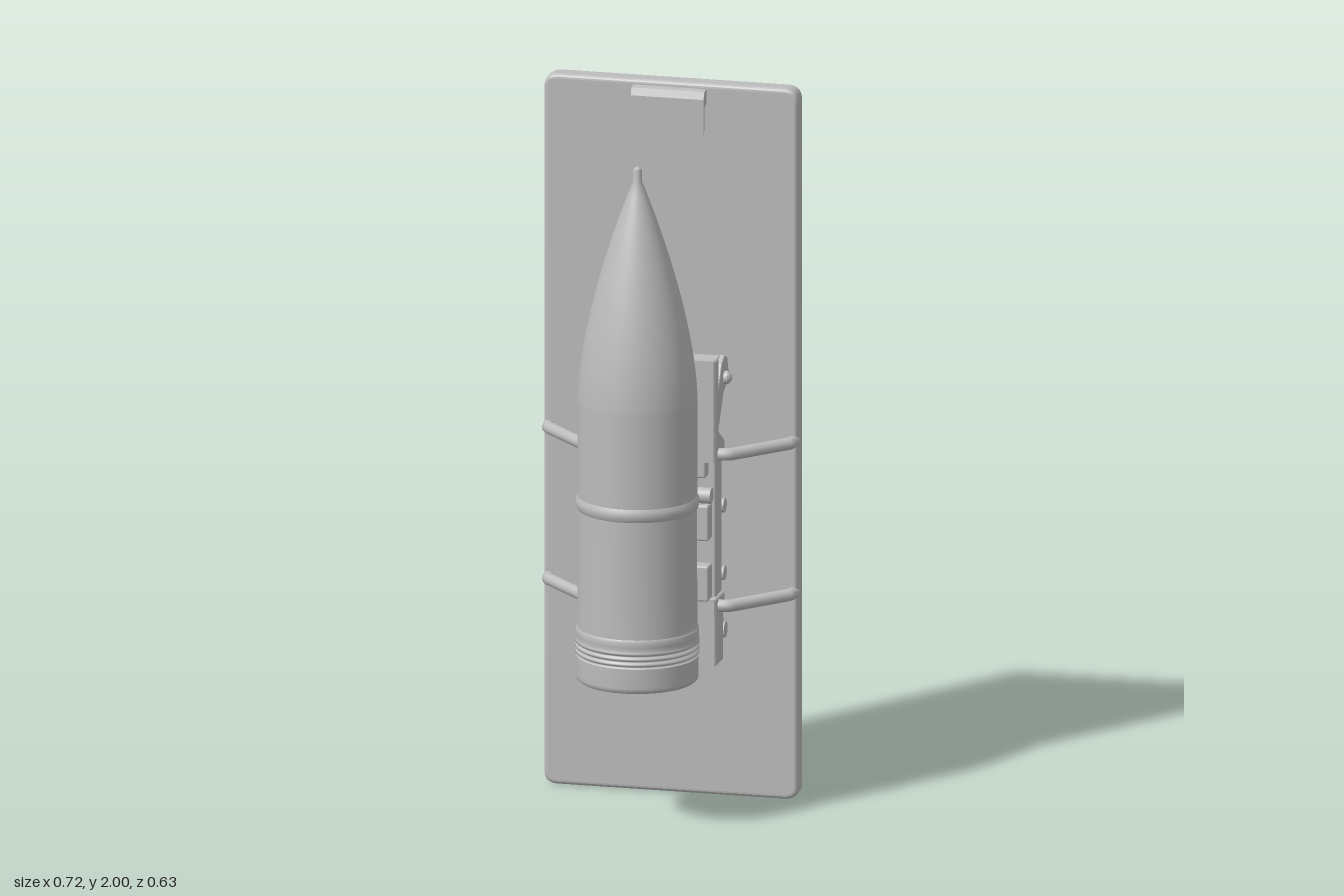
import * as THREE from 'three';
import { RoundedBoxGeometry } from 'three/addons/geometries/RoundedBoxGeometry.js';

export function createModel() {
  const root = new THREE.Group();
  const grey = new THREE.MeshStandardMaterial({ color: 0xbcbcbc });
  grey.name = 'plain grey';

  const add = (name, geometry, x = 0, y = 0, z = 0, parent = root) => {
    const mesh = new THREE.Mesh(geometry, grey);
    mesh.name = name;
    mesh.position.set(x, y, z);
    parent.add(mesh);
    return mesh;
  };
  const group = (name) => {
    const g = new THREE.Group();
    g.name = name;
    root.add(g);
    return g;
  };
  // Side profile of [z, y] points, extruded across x and centred
  const profile = (points, width, bevel = 0.004) => {
    const shape = new THREE.Shape(points.map(([z, y]) => new THREE.Vector2(z, y)));
    const depth = width - 2 * bevel;
    const g = new THREE.ExtrudeGeometry(shape, {
      depth, bevelEnabled: bevel > 0, bevelSize: bevel, bevelOffset: -bevel,
      bevelThickness: bevel, bevelSegments: 1,
    });
    return g.translate(0, 0, -depth / 2).rotateY(-Math.PI / 2);
  };
  const box = (w, h, d, r = 0.006) => new RoundedBoxGeometry(w, h, d, 2, r);
  const rod = (r, length) => new THREE.CylinderGeometry(r, r, length, 24).rotateZ(Math.PI / 2);
  const lathe = (pts) => new THREE.LatheGeometry(pts.map(([r, y]) => new THREE.Vector2(r, y)), 64);

  // Tall back panel with rounded corners and soft edges
  const w = 0.355, c = 0.04;
  const outline = new THREE.Shape();
  outline.moveTo(-w + c, 0.005);
  outline.lineTo(w - c, 0.005);
  outline.quadraticCurveTo(w, 0.005, w, c);
  outline.lineTo(w, 2 - c);
  outline.quadraticCurveTo(w, 2, w - c, 2);
  outline.lineTo(-w + c, 2);
  outline.quadraticCurveTo(-w, 2, -w, 2 - c);
  outline.lineTo(-w, c);
  outline.quadraticCurveTo(-w, 0.005, -w + c, 0.005);
  add('backPanel', new THREE.ExtrudeGeometry(outline, {
    depth: 0.036, bevelSize: 0.012, bevelOffset: -0.012, bevelThickness: 0.012,
    bevelSegments: 4, curveSegments: 8,
  }), 0, 0, -0.249);

  // Hanging flap near the top of the panel
  add('topFlap', profile([
    [-0.192, 1.988], [-0.172, 1.985], [-0.163, 1.965], [-0.162, 1.862],
    [-0.168, 1.862], [-0.172, 1.94], [-0.192, 1.95],
  ], 0.205, 0.001));

  // Shell: base, driving band, body, ridge and pointed nose
  const shell = group('shell');
  shell.position.set(-0.005, 0, 0.145);
  add('shellBase', lathe([[0, 0.415], [0.158, 0.415]]), 0, 0, 0, shell);
  add('shellFoot', lathe([[0.158, 0.415], [0.164, 0.42], [0.166, 0.43], [0.166, 0.485]]), 0, 0, 0, shell);
  const band = [[0.166, 0.485]];
  for (let i = 0; i < 3; i++) {
    const y = 0.485 + i * 0.015;
    band.push([0.161, y + 0.003], [0.161, y + 0.006], [0.168, y + 0.009], [0.168, y + 0.015]);
  }
  band.push([0.164, 0.535], [0.167, 0.545], [0.167, 0.56], [0.163, 0.566]);
  add('drivingBand', lathe(band), 0, 0, 0, shell);
  add('shellBody', lathe([[0.163, 0.566], [0.162, 0.7], [0.162, 0.895], [0.163, 1.2]]), 0, 0, 0, shell);
  add('bodyRidge', lathe([[0.16, 0.893], [0.165, 0.9], [0.168, 0.912], [0.167, 0.924], [0.16, 0.936]]), 0, 0, 0, shell);
  const nose = [];
  for (let i = 0; i <= 20; i++) {
    const t = i / 20;
    nose.push([Math.max(0.012, 0.163 * (1 - Math.pow(t, 1.6))), 1.2 + 0.643 * t]);
  }
  nose.push([0.008, 1.85], [0, 1.853]);
  add('shellNose', lathe(nose), 0, 0, 0, shell);

  // Mount behind the shell
  const mount = group('mount');
  add('upperRail', profile([
    [-0.01, 0.99], [-0.01, 1.275], [-0.055, 1.275], [-0.055, 1.07],
    [-0.118, 1.03], [-0.118, 0.99],
  ], 0.345), 0, 0, 0, mount);
  add('middleBlock', box(0.33, 0.42, 0.07), 0, 0.79, -0.08, mount);
  add('lowerRail', profile([
    [-0.015, 0.555], [-0.015, 0.605], [-0.118, 0.605], [-0.118, 0.555],
    [-0.1, 0.555], [-0.1, 0.415], [-0.018, 0.415], [-0.018, 0.555],
  ].reverse(), 0.345), 0, 0, 0, mount);
  add('lowerPad', box(0.31, 0.1, 0.045), 0, 0.65, -0.027, mount);
  add('middlePad', box(0.31, 0.1, 0.045), 0, 0.82, -0.027, mount);
  add('upperPad', box(0.29, 0.05, 0.04), 0, 0.97, -0.03, mount);
  add('padPin', rod(0.022, 0.32), 0, 0.895, -0.022, mount);

  // Rollers with end brackets and pins
  add('upperRoller', rod(0.06, 0.31), 0, 1.2, -0.125, mount);
  add('lowerRoller', rod(0.042, 0.31), 0, 0.49, -0.138, mount);
  add('upperPin', rod(0.018, 0.36), 0, 1.2, -0.13, mount);
  add('lowerPin', rod(0.022, 0.34), 0, 0.49, -0.138, mount);
  for (const s of [-1, 1]) {
    add('rollerBracket', profile([
      [-0.05, 1.08], [-0.05, 1.16], [-0.1, 1.245], [-0.13, 1.262], [-0.16, 1.25],
      [-0.175, 1.21], [-0.155, 1.175], [-0.12, 1.16], [-0.07, 1.08],
    ].reverse(), 0.014, 0.002), s * 0.162, 0, 0, mount);
    add('lowerBracket', box(0.014, 0.05, 0.06, 0.004), s * 0.158, 0.49, -0.115, mount);
    add('pinCap', new THREE.SphereGeometry(0.018, 16, 10), s * 0.172, 1.2, -0.13, mount);
    // Side fasteners
    for (const y of [0.64, 0.83]) {
      const arm = add('fastenerArm', box(0.02, 0.035, 0.065, 0.005), s * 0.145, y, -0.14, mount);
      arm.rotation.x = 0.3;
      add('fastenerPin', rod(0.02, 0.04), s * 0.145, y + 0.005, -0.15, mount);
    }
  }

  // Bent bars joining the mount to the panel edges
  const bars = group('supportBars');
  for (const y of [1.005, 0.58]) {
    for (const s of [-1, 1]) {
      const path = new THREE.CurvePath();
      const p = [[0.13, -0.053], [0.18, -0.053], [0.205, -0.06], [0.338, -0.185], [0.342, -0.215]]
        .map(([x, z], i) => new THREE.Vector3(s * x, y + (i > 2 ? 0.006 : 0), z));
      path.add(new THREE.LineCurve3(p[0], p[1]));
      path.add(new THREE.QuadraticBezierCurve3(p[1], new THREE.Vector3(s * 0.197, y, -0.053), p[2]));
      path.add(new THREE.LineCurve3(p[2], p[3]));
      path.add(new THREE.LineCurve3(p[3], p[4]));
      add('supportBar', new THREE.TubeGeometry(path, 40, 0.017, 14), 0, 0, 0, bars);
    }
  }

  // Riveted strip and twin hook on the back
  const hook = group('rearHook');
  const strip = new THREE.Shape();
  strip.absarc(0.29, 0, 0.025, -Math.PI / 2, Math.PI / 2);
  strip.absarc(-0.29, 0, 0.025, Math.PI / 2, Math.PI * 1.5);
  add('rivetStrip', new THREE.ExtrudeGeometry(strip, { depth: 0.007, bevelEnabled: false }), 0, 0.165, -0.256, hook);
  for (const x of [-0.275, -0.175, -0.075, 0.07, 0.175, 0.275]) {
    add('rivet', new THREE.SphereGeometry(0.014, 16, 10), x, 0.168, -0.256, hook);
  }
  const lobe = [
    [-0.245, 0.145], [-0.256, 0.145], [-0.27, 0.125], [-0.292, 0.1], [-0.314, 0.088],
    [-0.304, 0.045], [-0.265, 0.04], [-0.245, 0.07],
  ];
  for (const s of [-1, 1]) add('hookLobe', profile(lobe, 0.18, 0.002), s * 0.147, 0, 0, hook);
  add('hookBridge', profile([
    [-0.245, 0.145], [-0.256, 0.145], [-0.27, 0.125], [-0.294, 0.1], [-0.288, 0.088], [-0.245, 0.1],
  ], 0.13, 0.001), 0, 0, 0, hook);

  return root;
}
